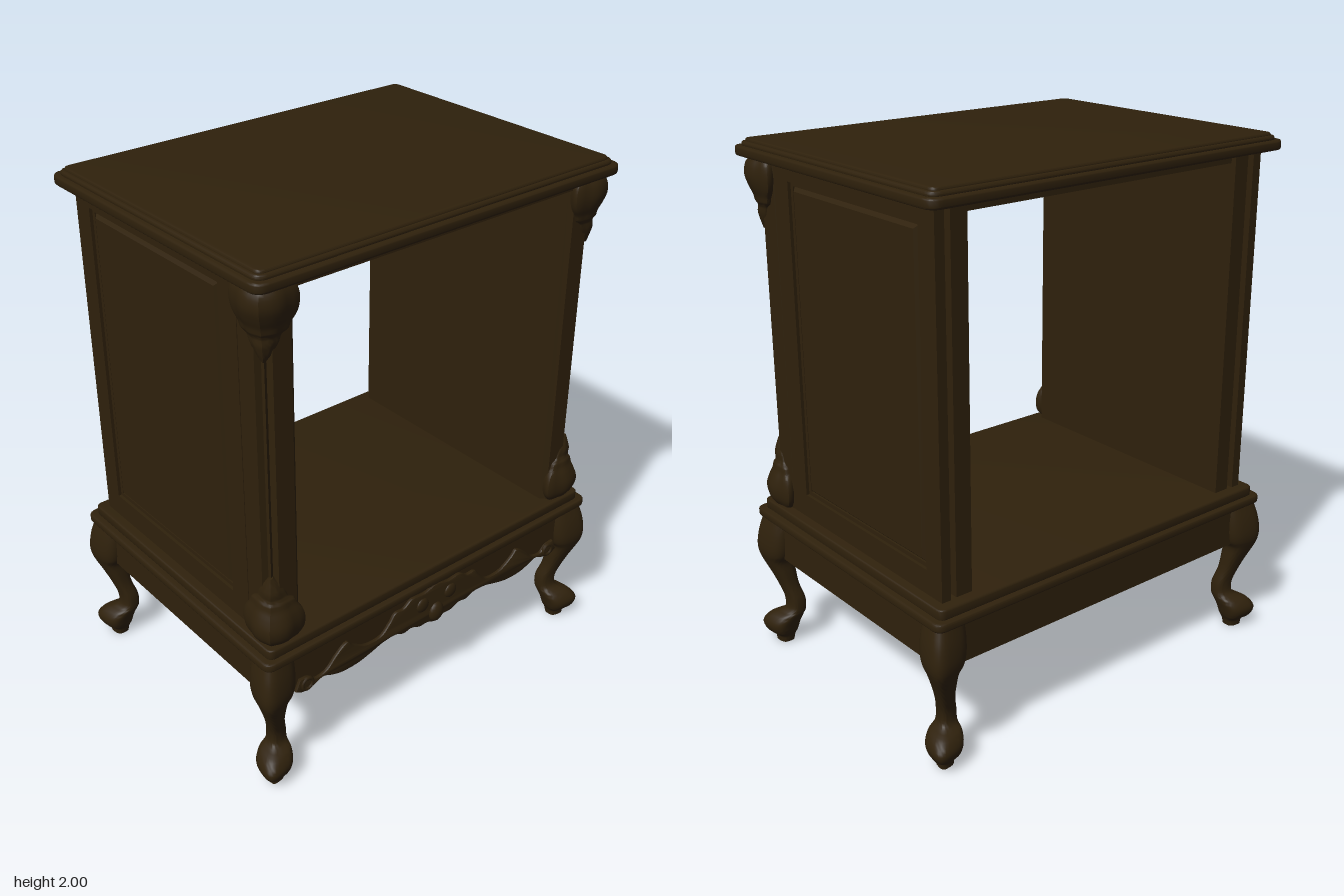
import * as THREE from 'three';
import { toCreasedNormals } from 'three/addons/utils/BufferGeometryUtils.js';

const wood = new THREE.MeshStandardMaterial({ color: 0x2f210c });
wood.name = 'dark walnut';

function add(parent, name, geo) {
  const m = new THREE.Mesh(geo, wood);
  m.name = name;
  parent.add(m);
  return m;
}

// Box given by its limits
function box(parent, name, x0, x1, y0, y1, z0, z1) {
  const m = add(parent, name, new THREE.BoxGeometry(x1 - x0, y1 - y0, z1 - z0));
  m.position.set((x0 + x1) / 2, (y0 + y1) / 2, (z0 + z1) / 2);
}

// Flat moulding with rounded corners and softened edges; hx, hz are half sizes
function slab(parent, name, hx, hz, y0, y1, r, bevel) {
  const s = new THREE.Shape(), a = hx - bevel, b = hz - bevel;
  s.moveTo(-a + r, -b);
  s.lineTo(a - r, -b); s.quadraticCurveTo(a, -b, a, -b + r);
  s.lineTo(a, b - r); s.quadraticCurveTo(a, b, a - r, b);
  s.lineTo(-a + r, b); s.quadraticCurveTo(-a, b, -a, b - r);
  s.lineTo(-a, -b + r); s.quadraticCurveTo(-a, -b, -a + r, -b);
  const g = new THREE.ExtrudeGeometry(s, {
    depth: y1 - y0 - 2 * bevel, bevelThickness: bevel, bevelSize: bevel, bevelSegments: 3, curveSegments: 5,
  });
  g.rotateX(-Math.PI / 2).translate(0, y0 + bevel, 0);
  add(parent, name, toCreasedNormals(g, 0.6));
}

// Skin over horizontal rings; ring(t, angle) returns [x, y, z]
function loft(rows, sides, ring, crease) {
  const pos = [], idx = [];
  for (let i = 0; i <= rows; i++)
    for (let j = 0; j < sides; j++) pos.push(...ring(i / rows, (j / sides) * Math.PI * 2));
  for (let i = 0; i < rows; i++)
    for (let j = 0; j < sides; j++) {
      const a = i * sides + j, b = i * sides + (j + 1) % sides;
      idx.push(a, a + sides, b, b, a + sides, b + sides);
    }
  for (let j = 1; j < sides - 1; j++) {
    const k = rows * sides;
    idx.push(0, j, j + 1, k, k + j + 1, k + j);
  }
  const g = new THREE.BufferGeometry();
  g.setAttribute('position', new THREE.Float32BufferAttribute(pos, 3));
  g.setIndex(idx);
  return toCreasedNormals(g, crease);
}

const power = (v, p) => Math.sign(v) * Math.abs(v) ** p;
const sections = list => new THREE.CatmullRomCurve3(list.map(p => new THREE.Vector3(...p)), false, 'centripetal');

// Cabriole leg: each section is [height, inner x, outer x]
function legGeometry() {
  const path = sections([
    [0, 0.705, 0.765], [0.025, 0.7, 0.77], [0.05, 0.687, 0.798], [0.085, 0.677, 0.808], [0.12, 0.667, 0.785],
    [0.145, 0.664, 0.74], [0.19, 0.665, 0.735], [0.25, 0.68, 0.75], [0.31, 0.685, 0.772], [0.365, 0.685, 0.795],
    [0.395, 0.665, 0.806], [0.43, 0.655, 0.81], [0.49, 0.65, 0.803], [0.556, 0.65, 0.785],
  ]);
  return loft(52, 32, (t, a) => {
    const p = path.getPoint(t), c = (p.y + p.z) / 2, r = (p.z - p.y) / 2;
    const u = power(Math.cos(a), 0.65), v = power(Math.sin(a), 0.65);
    // Outer faces lean toward the corner, giving the knee its ridge
    const lean = (d, e) => d > 0 ? d * (1.04 - 0.14 * (1 - e)) : d;
    return [c + r * lean(u, v), Math.max(0, p.x), c - 0.205 + r * lean(v, u)];
  }, 0.9);
}

// Carved leaf, centred on the post corner: [height, half width across the corner, projection]
function leafGeometry() {
  const path = sections([
    [0, 0.075, 0.035], [0.03, 0.095, 0.058], [0.07, 0.1, 0.064], [0.11, 0.092, 0.05], [0.14, 0.075, 0.035],
    [0.16, 0.068, 0.03], [0.175, 0.05, 0.02], [0.2, 0.042, 0.022], [0.225, 0.03, 0.016], [0.26, 0.006, 0.004],
  ]);
  return loft(30, 36, (t, a) => {
    const p = path.getPoint(t), c = Math.cos(a), s = Math.sin(a);
    const lobe = 1 + 0.06 * Math.cos(6 * a);
    const u = p.y * c * lobe, out = s > 0 ? p.z * s * lobe : 0.06 * s;
    // u runs across the corner, out runs along its diagonal
    const back = Math.abs(u) * 0.35;
    return [(out + u) * 0.707 - back, p.x, (out - u) * 0.707 - back];
  }, 0.7);
}

const points = list => list.map(p => new THREE.Vector2(...p));
const mirrored = list => [...list, ...list.slice(0, -1).reverse().map(([x, y]) => [-x, y])];

// One side wall for +x, built with its outer face toward +x
function sideWall() {
  const g = new THREE.Group();
  g.name = 'sideWall';
  box(g, 'innerLining', 0.6, 0.665, 0.61, 1.945, -0.52, 0.42);
  box(g, 'backGroove', 0.66, 0.7, 0.61, 1.945, -0.485, 0.42);
  // Outer frame, drawn in (z, y) and turned to face +x
  const rect = (T, a, b, c, d) => new T(points([[a, b], [c, b], [c, d], [a, d]]));
  const frame = (name, o, i, x0, x1) => {
    const s = rect(THREE.Shape, -o[1], o[2], -o[0], o[3]);
    s.holes.push(rect(THREE.Path, -i[1], i[2], -i[0], i[3]));
    const e = new THREE.ExtrudeGeometry(s, { depth: x1 - x0, bevelEnabled: false });
    add(g, name, e.rotateY(Math.PI / 2).translate(x0, 0, 0));
  };
  frame('panelFrame', [-0.524, 0.4, 0.61, 1.945], [-0.44, 0.31, 0.71, 1.88], 0.69, 0.727);
  frame('panelBead', [-0.44, 0.31, 0.71, 1.88], [-0.425, 0.295, 0.725, 1.865], 0.69, 0.715);
  // Raised field with sloping border
  const field = new THREE.ExtrudeGeometry(rect(THREE.Shape, -0.28, 0.74, 0.41, 1.85),
    { depth: 0.002, bevelThickness: 0.015, bevelSize: 0.015, bevelSegments: 1 });
  add(g, 'raisedPanel', field.rotateY(Math.PI / 2).translate(0.705, 0, 0));
  // Corner post with eased inner edge and a grooved, cut-back outer corner
  const post = new THREE.Shape(points([[0.6, -0.4], [0.6, -0.51], [0.618, -0.528], [0.69, -0.528], [0.697, -0.505],
    [0.708, -0.509], [0.711, -0.498], [0.706, -0.49], [0.728, -0.485], [0.728, -0.405], [0.723, -0.4]]));
  const p = new THREE.ExtrudeGeometry(post, { depth: 1.335, bevelEnabled: false });
  add(g, 'cornerPost', p.rotateX(-Math.PI / 2).translate(0, 0.61, 0));
  // The upper leaf is the lower one turned upside down on the same corner
  const leaf = leafGeometry();
  add(g, 'lowerLeaf', leaf).position.set(0.713, 0.615, 0.513);
  const upside = leaf.clone().rotateX(Math.PI).rotateY(-Math.PI / 2);
  add(g, 'upperLeaf', upside).position.set(0.713, 1.942, 0.513);
  return g;
}

// Scalloped and carved front apron
function frontApron() {
  const g = new THREE.Group();
  g.name = 'frontApron';
  const low = [[-0.66, 0.385], [-0.63, 0.37], [-0.58, 0.375], [-0.54, 0.39], [-0.5, 0.375], [-0.45, 0.362], [-0.38, 0.362],
    [-0.32, 0.375], [-0.26, 0.392], [-0.2, 0.395], [-0.16, 0.38], [-0.12, 0.385], [-0.08, 0.37], [-0.04, 0.37], [0, 0.356]];
  const high = [[-0.64, 0.43], [-0.6, 0.425], [-0.57, 0.4], [-0.52, 0.41], [-0.48, 0.45], [-0.43, 0.485], [-0.4, 0.46],
    [-0.34, 0.425], [-0.27, 0.425], [-0.23, 0.46], [-0.2, 0.495], [-0.16, 0.495], [-0.12, 0.52], [-0.06, 0.515], [0, 0.53]];
  const smooth = list => new THREE.SplineCurve(points(mirrored(list))).getPoints(110);
  const lower = smooth(low);
  const board = new THREE.Shape([...lower, ...points([[0.66, 0.556], [-0.66, 0.556]])]);
  add(g, 'apronBoard', new THREE.ExtrudeGeometry(board, { depth: 0.035, bevelEnabled: false })).position.z = 0.52;
  const relief = new THREE.Shape([...lower, ...smooth(high).reverse()]);
  const carved = new THREE.ExtrudeGeometry(relief,
    { depth: 0.006, bevelThickness: 0.007, bevelSize: 0.006, bevelOffset: -0.006, bevelSegments: 2 });
  add(g, 'carvedRelief', toCreasedNormals(carved, 0.5)).position.z = 0.556;
  // Rosettes and scrolls
  for (const s of [-1, 1]) {
    const rosette = add(g, 'rosette', new THREE.SphereGeometry(0.03, 20, 10));
    rosette.scale.z = 0.4;
    rosette.position.set(s * 0.07, 0.468, 0.568);
    const scroll = add(g, 'scroll', new THREE.TorusGeometry(0.022, 0.008, 8, 20));
    scroll.position.set(s * 0.61, 0.4, 0.566);
  }
  const drop = add(g, 'centreShell', new THREE.SphereGeometry(0.035, 18, 12));
  drop.scale.set(1, 1.2, 0.6);
  drop.position.set(0, 0.405, 0.568);
  return g;
}

export function createModel() {
  const model = new THREE.Group();
  model.name = 'cabinet';

  // Top
  slab(model, 'topEdge', 0.784, 0.588, 1.94, 1.975, 0.04, 0.008);
  slab(model, 'topStep', 0.765, 0.567, 1.968, 1.99, 0.03, 0.008);
  slab(model, 'topPanel', 0.752, 0.554, 1.98, 2.0, 0.02, 0.007);
  box(model, 'frontTopRail', -0.62, 0.62, 1.9, 1.945, 0.46, 0.525);
  box(model, 'backTopRail', -0.66, 0.66, 1.9, 1.945, -0.5, -0.46);

  // Base mouldings
  slab(model, 'baseUpperMoulding', 0.765, 0.566, 0.58, 0.62, 0.02, 0.006);
  slab(model, 'baseLowerMoulding', 0.793, 0.589, 0.552, 0.584, 0.03, 0.008);

  // Walls and legs, mirrored left to right and front to back
  const wall = sideWall(), leg = legGeometry();
  const other = wall.clone();
  other.scale.x = -1;
  model.add(wall, other);
  for (const sx of [-1, 1])
    for (const sz of [-1, 1])
      add(model, sz > 0 ? 'frontLeg' : 'backLeg', leg).scale.set(sx, 1, sz);

  // Aprons
  for (const s of [-1, 1]) {
    const x = s * 0.74;
    box(model, 'sideApron', x - 0.015, x + 0.015, 0.39, 0.556, -0.46, 0.46);
  }
  box(model, 'backApron', -0.67, 0.67, 0.39, 0.556, -0.555, -0.525);
  model.add(frontApron());
  return model;
}
